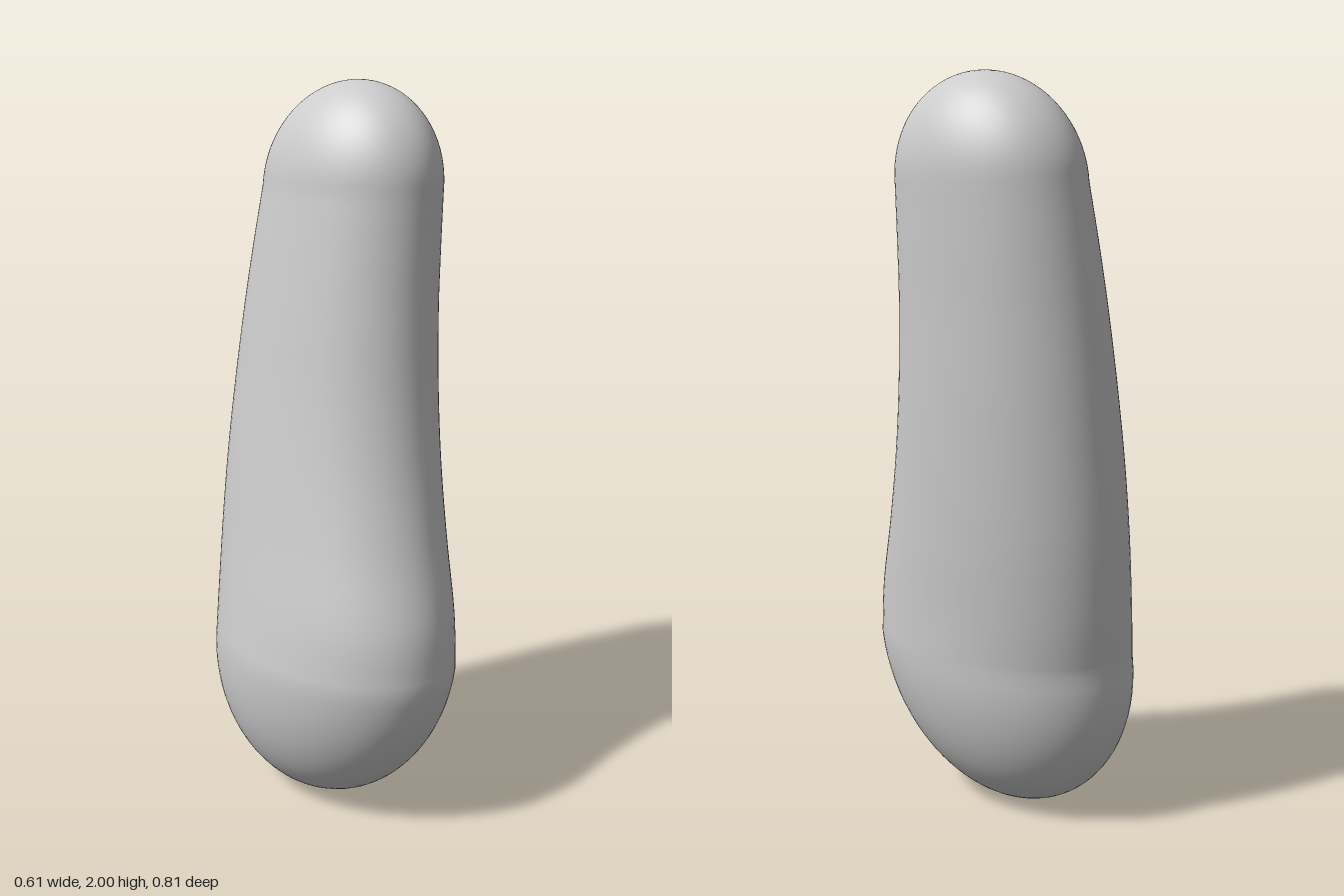
import * as THREE from 'three';
import { mergeVertices } from 'three/addons/utils/BufferGeometryUtils.js';

const SEGMENTS = 72;
const SKEW = Math.asin(0.24); // leans each oval section diagonally in plan

// Body outline: y, min x, max x, min z, max z
const outline = [
  [0.45, -0.302, 0.281, -0.372, 0.408],
  [0.6, -0.282, 0.282, -0.39, 0.388],
  [0.8, -0.255, 0.283, -0.402, 0.322],
  [1.0, -0.228, 0.285, -0.403, 0.265],
  [1.2, -0.198, 0.288, -0.399, 0.225],
  [1.4, -0.167, 0.292, -0.39, 0.2],
  [1.56, -0.14, 0.298, -0.38, 0.187],
  [1.72, -0.112, 0.304, -0.366, 0.178],
];

const curve = (points) => new THREE.CatmullRomCurve3(points, false, 'catmullrom', 0.5);
const spine = curve(outline.map(([y, x0, x1, z0, z1]) => new THREE.Vector3((x0 + x1) / 2, y, (z0 + z1) / 2)));
const radii = curve(outline.map(([y, x0, x1, z0, z1]) => new THREE.Vector3((x1 - x0) / 2, y, (z1 - z0) / 2)));

// Half-ellipsoid sections running from the rim (angle 0) to the tip (angle 90 degrees)
function capSections(t, tip, steps) {
  const c = spine.getPoint(t), r = radii.getPoint(t);
  const sections = [];
  for (let i = 1; i <= steps; i++) {
    const a = (i / steps) * Math.PI / 2;
    const s = i === steps ? 0 : Math.cos(a);
    sections.push({ c: c.clone().lerp(tip, Math.sin(a)), rx: r.x * s, rz: r.z * s });
  }
  return sections;
}

function loft(sections) {
  const positions = [], index = [];
  for (const { c, rx, rz } of sections) {
    for (let j = 0; j < SEGMENTS; j++) {
      const a = (j / SEGMENTS) * Math.PI * 2;
      positions.push(c.x + rx * Math.cos(a), c.y, c.z + rz * Math.sin(a + SKEW));
    }
  }
  for (let i = 0; i < sections.length - 1; i++) {
    for (let j = 0; j < SEGMENTS; j++) {
      const k = (j + 1) % SEGMENTS;
      const a = i * SEGMENTS + j, b = i * SEGMENTS + k;
      const d = a + SEGMENTS, e = b + SEGMENTS;
      if (i > 0) index.push(a, d, b);
      if (i < sections.length - 2) index.push(b, d, e);
      else index.push(); // last band closes on the tip
      if (i === 0) continue;
    }
  }
  const geometry = new THREE.BufferGeometry();
  geometry.setAttribute('position', new THREE.Float32BufferAttribute(positions, 3));
  geometry.setIndex(index);
  const merged = mergeVertices(geometry, 1e-5);
  merged.computeVertexNormals();
  return merged;
}

export function createModel() {
  const model = new THREE.Group();
  model.name = 'roundedLimb';

  // Rounded base, curved shaft and rounded tip joined as one skin
  const base = capSections(0, new THREE.Vector3(-0.04, 0, -0.025), 20).reverse();
  const top = capSections(1, new THREE.Vector3(0.112, 2, -0.083), 20);
  const shaft = [];
  for (let i = 0; i <= 42; i++) {
    const c = spine.getPoint(i / 42), r = radii.getPoint(i / 42);
    shaft.push({ c, rx: r.x, rz: r.z });
  }

  const skin = new THREE.Mesh(
    loft([...base, ...shaft, ...top]),
    new THREE.MeshStandardMaterial({ color: 0xcccccc }),
  );
  skin.name = 'limb';
  model.add(skin);
  return model;
}
